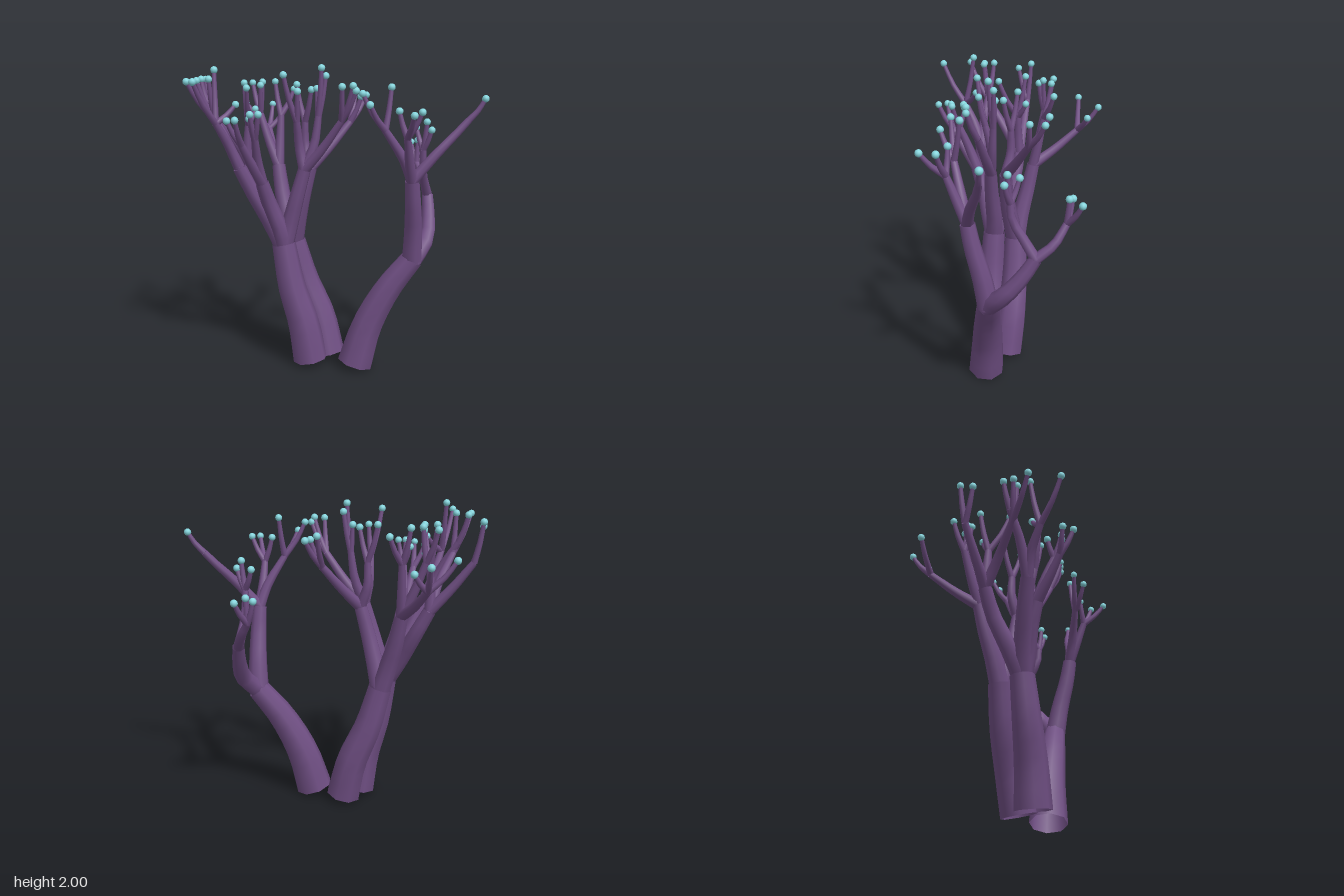
import * as THREE from 'three';

const SIDES = 8;
const bark = new THREE.MeshStandardMaterial({ color: 0x715085, side: THREE.DoubleSide });
bark.name = 'purple bark';
const bud = new THREE.MeshStandardMaterial({ color: 0x84d4dc });
bud.name = 'teal bud';

const vec = (p) => new THREE.Vector3(...p);

// Open tapered tube through the points
function taper(points, r0, r1, segments) {
  const curve = new THREE.CatmullRomCurve3(points.map(vec));
  const g = new THREE.TubeGeometry(curve, segments, 1, SIDES);
  const pos = g.attributes.position;
  const v = new THREE.Vector3();
  for (let i = 0; i <= segments; i++) {
    const t = i / segments;
    const c = curve.getPointAt(t);
    const r = THREE.MathUtils.lerp(r0, r1, t);
    for (let j = 0; j <= SIDES; j++) {
      const k = i * (SIDES + 1) + j;
      v.fromBufferAttribute(pos, k).sub(c).multiplyScalar(r).add(c);
      pos.setXYZ(k, v.x, v.y, v.z);
    }
  }
  return g;
}

export function createModel() {
  const model = new THREE.Group();
  const budShape = new THREE.SphereGeometry(0.023, 12, 8);

  function limb(name, points, r0, r1, segments = 6) {
    const mesh = new THREE.Mesh(taper(points, r0, r1, segments), bark);
    mesh.name = name;
    model.add(mesh);
  }

  // A thin bough along a path, ending in twigs that each carry a bud
  function spray(path, tips, r = 0.037) {
    const node = path[path.length - 1];
    limb('bough', path, r, 0.022, 5);
    for (const tip of tips) {
      const mid = node.map((n, i) => THREE.MathUtils.lerp(n, tip[i], i === 1 ? 0.47 : 0.58));
      limb('twig', [node, mid, tip], 0.021, 0.013, 4);
      const ball = new THREE.Mesh(budShape, bud);
      ball.name = 'bud';
      ball.position.set(...tip);
      model.add(ball);
    }
  }

  // Three trunks
  limb('leftTrunk', [[0.178, 0.04, -0.015], [0.24, 0.3, -0.06], [0.355, 0.56, -0.13], [0.485, 0.765, -0.215]], 0.122, 0.074, 8);
  limb('frontTrunk', [[-0.1, 0.045, 0.11], [-0.14, 0.3, 0.13], [-0.21, 0.55, 0.16], [-0.265, 0.84, 0.17]], 0.116, 0.078, 8);
  limb('backTrunk', [[-0.06, 0.045, -0.04], [-0.125, 0.3, -0.045], [-0.225, 0.55, -0.015], [-0.295, 0.82, 0.015]], 0.116, 0.078, 8);

  // Left trunk: upright branch
  const a = [0.53, 1.3, -0.1];
  limb('branch', [[0.485, 0.75, -0.21], [0.505, 0.95, -0.18], [0.525, 1.15, -0.13], a], 0.068, 0.047);
  spray([a, [0.64, 1.46, -0.19], [0.74, 1.6, -0.29], [0.79, 1.67, -0.33]], [[0.87, 1.8, -0.385]]);
  spray([a, [0.5, 1.43, -0.05], [0.42, 1.62, 0.05]], [[0.31, 1.84, 0.135], [0.38, 1.78, 0.165], [0.43, 1.875, 0]]);
  spray([a, [0.54, 1.43, -0.04], [0.555, 1.58, 0.02]], [[0.505, 1.74, 0.035], [0.65, 1.74, 0.02], [0.655, 1.73, 0.13]]);

  // Left trunk: backward branch
  const b = [0.44, 1.13, -0.5];
  limb('branch', [[0.485, 0.75, -0.2], [0.52, 0.87, -0.33], [0.485, 1, -0.43], b], 0.064, 0.039);
  spray([b, [0.37, 1.21, -0.58], [0.29, 1.32, -0.62]], [[0.31, 1.46, -0.72], [0.24, 1.46, -0.63], [0.29, 1.475, -0.63]], 0.033);
  spray([b, [0.45, 1.25, -0.42], [0.47, 1.36, -0.36], [0.475, 1.46, -0.35]], [[0.41, 1.595, -0.375], [0.5, 1.64, -0.345], [0.535, 1.59, -0.345]], 0.033);

  // Front trunk: central forward branch
  const c = [-0.31, 1.27, 0.33];
  limb('branch', [[-0.265, 0.82, 0.17], [-0.27, 0.95, 0.21], [-0.3, 1.12, 0.27], c], 0.064, 0.042);
  spray([c, [-0.3, 1.4, 0.38], [-0.27, 1.56, 0.44]], [[-0.32, 1.68, 0.43], [-0.22, 1.715, 0.465], [-0.26, 1.715, 0.495]]);
  spray([c, [-0.31, 1.4, 0.43], [-0.31, 1.53, 0.52]], [[-0.36, 1.68, 0.59], [-0.28, 1.69, 0.61]]);

  // Front trunk: outer forward branch
  const h = [-0.45, 1.36, 0.38];
  limb('branch', [[-0.265, 0.82, 0.17], [-0.33, 1, 0.23], [-0.4, 1.19, 0.31], h], 0.062, 0.043);
  spray([h, [-0.48, 1.49, 0.43], [-0.5, 1.65, 0.53]], [[-0.54, 1.97, 0.485], [-0.44, 1.76, 0.41], [-0.51, 1.91, 0.71]]);
  spray([h, [-0.55, 1.57, 0.41], [-0.65, 1.73, 0.42]], [[-0.71, 1.905, 0.42]]);

  // Front trunk: branch on the outer side
  const d = [-0.57, 1.33, 0.14];
  limb('branch', [[-0.265, 0.82, 0.17], [-0.37, 0.98, 0.16], [-0.49, 1.18, 0.13], d], 0.062, 0.042);
  spray([d, [-0.7, 1.48, 0.18], [-0.82, 1.64, 0.21]], [[-0.87, 1.89, 0.21], [-0.845, 1.855, 0.295]]);
  spray([d, [-0.57, 1.46, 0.15], [-0.56, 1.6, 0.15]], [[-0.61, 1.87, 0.12], [-0.55, 1.7, 0.085], [-0.48, 1.85, 0.255]]);
  spray([d, [-0.58, 1.48, 0.25], [-0.62, 1.66, 0.41]], [[-0.69, 1.9, 0.485], [-0.62, 1.91, 0.45], [-0.675, 1.9, 0.59]]);

  // Front trunk: inner branch
  const e = [-0.13, 1.34, 0.12];
  limb('branch', [[-0.265, 0.82, 0.17], [-0.23, 0.97, 0.15], [-0.18, 1.15, 0.14], e], 0.062, 0.042);
  spray([e, [-0.01, 1.48, 0.09], [0.12, 1.66, 0.07]], [[0.165, 1.875, 0.135], [0.215, 1.88, 0.09], [0.23, 1.85, 0.08]]);
  spray([e, [-0.08, 1.5, 0.08], [-0.06, 1.68, 0.06]], [[-0.075, 1.85, 0.055], [-0.02, 1.93, 0.035], [-0.025, 1.98, 0.075]]);
  spray([e, [-0.16, 1.48, 0.13], [-0.15, 1.65, 0.17]], [[-0.12, 1.84, 0.2], [-0.19, 1.94, 0.25]]);

  // Back trunk: outer branch
  const f = [-0.45, 1.32, -0.03];
  limb('branch', [[-0.295, 0.8, 0.015], [-0.35, 0.97, 0.01], [-0.41, 1.15, -0.01], f], 0.068, 0.044);
  spray([f, [-0.52, 1.46, -0.03], [-0.6, 1.66, -0.03]], [[-0.68, 1.86, -0.055], [-0.575, 1.87, -0.03], [-0.57, 1.85, 0]]);
  spray([f, [-0.46, 1.47, -0.06], [-0.47, 1.65, -0.09]], [[-0.53, 1.87, -0.11], [-0.425, 1.82, -0.18]]);
  spray([f, [-0.57, 1.41, -0.13], [-0.69, 1.53, -0.24]], [[-0.75, 1.69, -0.36], [-0.64, 1.64, -0.33], [-0.84, 1.71, -0.175]]);

  // Back trunk: inner branch
  const g = [-0.15, 1.34, 0.02];
  limb('branch', [[-0.295, 0.8, 0.015], [-0.25, 0.97, 0.03], [-0.2, 1.15, 0.035], g], 0.064, 0.042);
  spray([g, [-0.2, 1.48, 0.01], [-0.2, 1.63, 0.01]], [[-0.27, 1.865, 0], [-0.135, 1.84, 0.03]]);
  spray([g, [-0.08, 1.46, -0.09], [0, 1.62, -0.22]], [[-0.03, 1.82, -0.34], [0.045, 1.79, -0.35], [0.06, 1.785, -0.255]]);

  return model;
}
